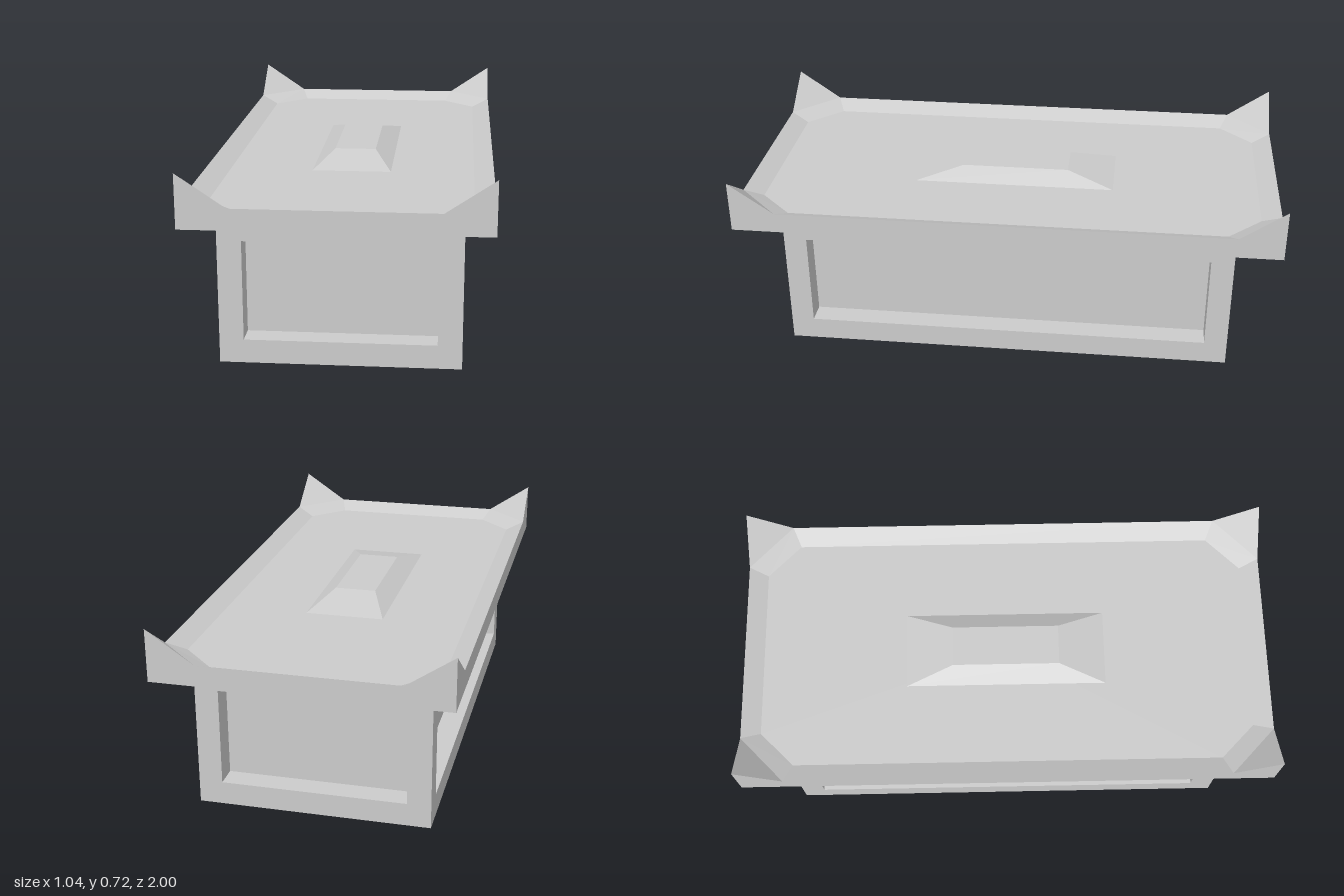
import * as THREE from 'three';

const mat = new THREE.MeshStandardMaterial({ color: 0xcccccc, flatShading: true, side: THREE.DoubleSide });

const HX = 0.42, HZ = 0.84;          // half width and half length of the chest
const WALL_TOP = 0.53;               // where the lid sits
const INSET = 0.085;                 // frame width, equal to panel depth
const PANEL_TOP = 0.443;

function add(parent, name, geo) {
  const mesh = new THREE.Mesh(geo, mat);
  mesh.name = name;
  parent.add(mesh);
  return mesh;
}

// One framed wall facing +z at distance `dist`, with a sunken panel
function makeWall(name, half, dist) {
  const wall = new THREE.Group();
  wall.name = name;
  const w = half - INSET, h = PANEL_TOP - INSET, midY = (PANEL_TOP + INSET) / 2;

  const frame = new THREE.Shape([[-half, 0], [half, 0], [half, WALL_TOP], [-half, WALL_TOP]]
    .map(p => new THREE.Vector2(...p)));
  frame.holes.push(new THREE.Path([[-w, INSET], [-w, PANEL_TOP], [w, PANEL_TOP], [w, INSET]]
    .map(p => new THREE.Vector2(...p))));
  add(wall, 'frame', new THREE.ShapeGeometry(frame)).position.z = dist;

  add(wall, 'panel', new THREE.PlaneGeometry(w * 2, h)).position.set(0, midY, dist - INSET);

  // Reveals joining frame and panel
  for (const s of [-1, 1]) {
    const z = dist - INSET / 2;
    const level = add(wall, s < 0 ? 'sill' : 'lintel', new THREE.PlaneGeometry(w * 2, INSET));
    level.rotation.x = s * Math.PI / 2;
    level.position.set(0, s < 0 ? INSET : PANEL_TOP, z);
    const jamb = add(wall, 'jamb', new THREE.PlaneGeometry(INSET, h));
    jamb.rotation.y = -s * Math.PI / 2;
    jamb.position.set(s * w, midY, z);
  }
  return wall;
}

// Lid: a shallow tray with four upswept corners
function makeLid() {
  const X = 0.52, Z = 1, RIM = 0.605, FLOOR = 0.573, TIP = 0.72;
  const outer = [], inner = [], corners = [];
  // Quadrants in counter-clockwise order seen from above
  [[1, 1], [1, -1], [-1, -1], [-1, 1]].forEach(([sx, sz]) => {
    const o = [[sx * 0.35, RIM, sz * Z], [sx * X, RIM, sz * 0.835]];
    const n = [[sx * 0.325, FLOOR, sz * 0.93], [sx * 0.45, FLOOR, sz * 0.805]];
    if (sx * sz < 0) { o.reverse(); n.reverse(); }
    outer.push(...o);
    inner.push(...n);
    corners.push([sx * X, TIP, sz * Z]);
  });

  const pos = [];
  const tri = (a, b, c) => pos.push(...a, ...b, ...c);
  const quad = (a, b, c, d) => { tri(a, b, c); tri(a, c, d); };
  const low = p => [p[0], WALL_TOP, p[2]];
  const side = (a, b) => quad(low(a), low(b), b, a);

  for (let i = 0; i < 8; i++) {
    const j = (i + 1) % 8;
    quad(outer[i], outer[j], inner[j], inner[i]);        // sloping rim
    tri([0, FLOOR, 0], inner[i], inner[j]);              // tray floor
    if (i % 2 === 0) {                                   // upswept corner
      const c = corners[i / 2];
      tri(outer[i], c, outer[j]);
      side(outer[i], c);
      side(c, outer[j]);
    } else side(outer[i], outer[j]);
  }
  quad(...[...corners].reverse().map(low));              // underside

  const geo = new THREE.BufferGeometry();
  geo.setAttribute('position', new THREE.Float32BufferAttribute(pos, 3));
  geo.computeVertexNormals();
  return geo;
}

// Raised centre block: a box tapered towards its top
function makeBoss() {
  const geo = new THREE.BoxGeometry(0.29, 0.042, 0.76).toNonIndexed();
  const p = geo.attributes.position;
  for (let i = 0; i < p.count; i++) {
    if (p.getY(i) > 0) { p.setX(i, p.getX(i) * 0.53); p.setZ(i, p.getZ(i) * 0.535); }
  }
  geo.computeVertexNormals();
  return geo;
}

export function createModel() {
  const model = new THREE.Group();
  model.name = 'stoneChest';

  // Four panelled walls, open underneath
  [['frontWall', HX, HZ], ['leftWall', HZ, HX], ['backWall', HX, HZ], ['rightWall', HZ, HX]]
    .forEach(([name, half, dist], i) => {
      const wall = makeWall(name, half, dist);
      wall.rotation.y = i * Math.PI / 2;
      model.add(wall);
    });

  add(model, 'lid', makeLid());
  add(model, 'lidBoss', makeBoss()).position.y = 0.594;
  return model;
}
